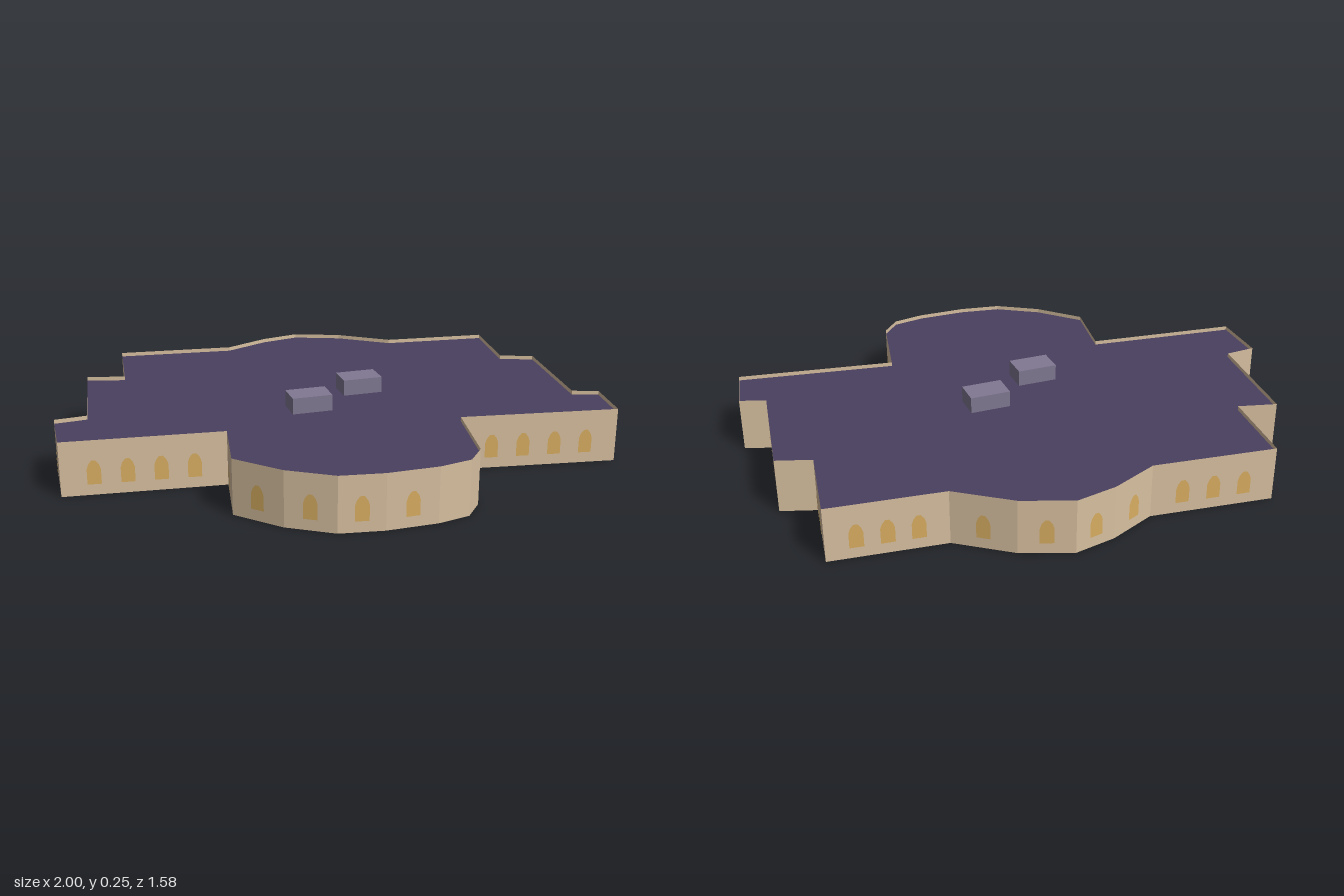
import * as THREE from 'three';

const WALL_H = 0.2, ROOF_Y = 0.185;

// Floor plan corners as x, z, running clockwise seen from above
const PLAN = [
  [-0.645, -0.738], [-0.2, -0.685], [-0.03, -0.76], [0.12, -0.79], [0.297, -0.722], [0.48, -0.588],
  [0.885, -0.543], [0.84, -0.235], [0.965, -0.193], [0.906, 0.251], [1, 0.283], [0.967, 0.481],
  [0.39, 0.39], [0.33, 0.69], [0.265, 0.765], [0.147, 0.788], [-0.035, 0.788], [-0.19, 0.763],
  [-0.34, 0.668], [-0.475, 0.525], [-0.433, 0.278], [-1, 0.213], [-0.99, -0.012], [-0.873, -0.02],
  [-0.82, -0.46], [-0.68, -0.423],
];

function windowGeometry() {
  const half = [[0.024, 0.04], [0.024, 0.095], [0.018, 0.113], [0.007, 0.127]];
  const points = [...half, ...half.map(([x, y]) => [-x, y]).reverse()];
  return new THREE.ShapeGeometry(new THREE.Shape(points.map(([x, y]) => new THREE.Vector2(x, y))));
}

export function createModel() {
  const material = (name, color, side = THREE.FrontSide) => {
    const m = new THREE.MeshStandardMaterial({ color, side });
    m.name = name;
    return m;
  };
  const stone = material('sandstone', 0xd8c0a0, THREE.DoubleSide);
  const glow = material('amber window', 0xd9ae62);
  const slate = material('purple roof', 0x4a4060, THREE.DoubleSide);
  const unit = material('grey violet', 0x807892);

  const model = new THREE.Group();
  model.name = 'building';
  const add = (parent, name, geometry, mat, x, y, z) => {
    const mesh = new THREE.Mesh(geometry, mat);
    mesh.name = name;
    mesh.position.set(x, y, z);
    parent.add(mesh);
    return mesh;
  };

  // One thin wall per side of the plan, with evenly spaced arched windows
  const arch = windowGeometry();
  PLAN.forEach(([x0, z0], i) => {
    const [x1, z1] = PLAN[(i + 1) % PLAN.length];
    const dx = x1 - x0, dz = z1 - z0, length = Math.hypot(dx, dz);
    const side = new THREE.Group();
    side.name = 'wallSection';
    side.position.set((x0 + x1) / 2, 0, (z0 + z1) / 2);
    side.rotation.y = Math.atan2(dz, -dx);
    model.add(side);
    add(side, 'wall', new THREE.PlaneGeometry(length, WALL_H), stone, 0, WALL_H / 2, 0);
    const count = length < 0.15 ? 0 : Math.floor(length / 0.135);
    for (let k = 1; k <= count; k++) {
      add(side, 'window', arch, glow, length * (k / (count + 1) - 0.5), 0, 0.003);
    }
  });

  // Flat roof sunk just below the wall tops
  const roofShape = new THREE.Shape(PLAN.map(([x, z]) => new THREE.Vector2(x, -z)));
  add(model, 'roof', new THREE.ShapeGeometry(roofShape).rotateX(-Math.PI / 2), slate, 0, ROOF_Y, 0);

  // Rooftop service boxes
  const boxH = 0.245 - ROOF_Y;
  for (const [x, z] of [[-0.085, 0.098], [0.155, -0.042]]) {
    add(model, 'rooftopBox', new THREE.BoxGeometry(0.15, boxH, 0.1), unit, x, ROOF_Y + boxH / 2, z);
  }
  return model;
}
